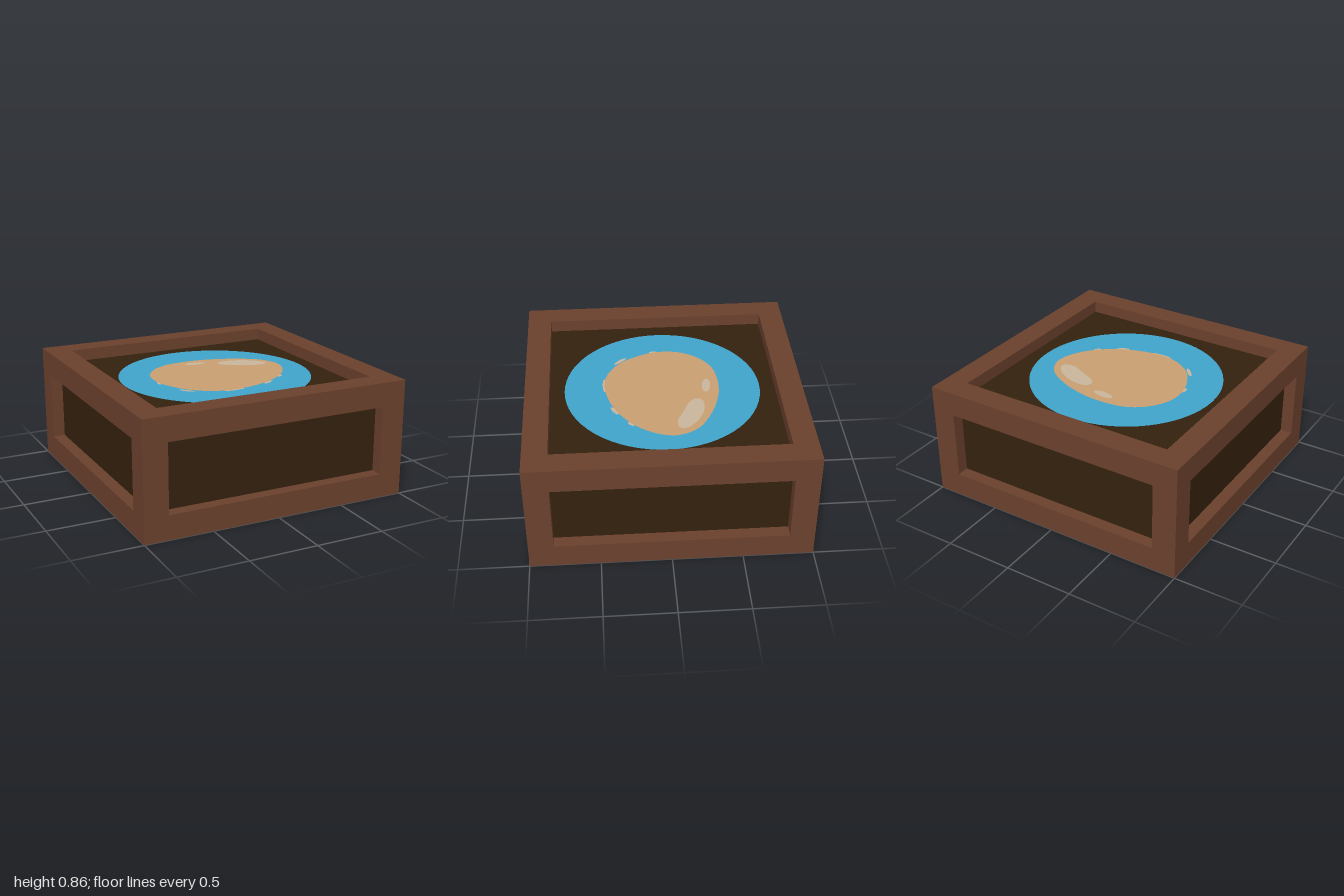
import * as THREE from 'three';

const mat = (name, color) => {
  const m = new THREE.MeshStandardMaterial({ color });
  m.name = name;
  return m;
};

export function createModel() {
  const wood = mat('brown wood', 0x6b412d);
  const dark = mat('dark wood', 0x34210e);
  const blue = mat('blue', 0x41a4cc);
  const tan = mat('tan', 0xc99f72);
  const pale = mat('pale highlight', 0xc9b59d);

  const H = 0.855, BAR = 0.177, INSET = 0.09;
  const model = new THREE.Group();
  model.name = 'framedBox';

  const add = (parent, name, geometry, material, x, y, z) => {
    const mesh = new THREE.Mesh(geometry, material);
    mesh.name = name;
    mesh.position.set(x, y, z);
    parent.add(mesh);
    return mesh;
  };

  // Frame: four corner posts and four rails at the top and the bottom
  const frame = new THREE.Group();
  frame.name = 'frame';
  model.add(frame);
  const off = 1 - BAR / 2, span = 2 - 2 * BAR;
  for (const a of [-1, 1]) {
    for (const b of [-1, 1]) {
      add(frame, 'cornerPost', new THREE.BoxGeometry(BAR, H, BAR), wood, a * off, H / 2, b * off);
    }
    for (const y of [BAR / 2, H - BAR / 2]) {
      add(frame, 'railAlongX', new THREE.BoxGeometry(span, BAR, BAR), wood, 0, y, a * off);
      add(frame, 'railAlongZ', new THREE.BoxGeometry(BAR, BAR, span), wood, a * off, y, 0);
    }
  }

  // Recessed panels on all six sides
  const w = 2 - 2 * INSET, h = H - 2 * INSET;
  add(model, 'recessedPanels', new THREE.BoxGeometry(w, h, w), dark, 0, H / 2, 0);

  // Painted emblem lying on the top panel, drawn as (x, z) outlines
  const emblem = new THREE.Group();
  emblem.name = 'emblem';
  emblem.position.y = H - INSET;
  model.add(emblem);
  const paint = (name, geometry, material, layer, x = 0, z = 0, turn = 0) => {
    const mesh = add(emblem, name, geometry, material, x, layer * 0.002, z);
    mesh.rotation.set(-Math.PI / 2, 0, turn);
    return mesh;
  };
  const blob = (points) => {
    const curve = new THREE.CatmullRomCurve3(
      points.map(([x, z]) => new THREE.Vector3(x, -z, 0)), true);
    return new THREE.ShapeGeometry(new THREE.Shape(
      curve.getPoints(72).slice(0, -1).map((p) => new THREE.Vector2(p.x, p.y))));
  };
  const ellipse = (rx, rz) => new THREE.CircleGeometry(1, 24).scale(rx, rz, 1);

  paint('blueDisc', new THREE.CircleGeometry(0.715, 64), blue, 1, 0.005, 0.003);

  // Pale slivers peeping out from under the egg's rim
  for (const [x, z, length, turn] of [
    [-0.462, 0.04, 0.035, 1.5], [-0.36, 0.3, 0.06, -0.85],
    [-0.05, 0.425, 0.08, 0], [0.26, 0.362, 0.05, 0.5], [0.42, 0.25, 0.03, 0.8],
  ]) paint('rimHighlight', ellipse(length, 0.014), pale, 2, x, z, turn);

  paint('egg', blob([
    [-0.12, -0.408], [0.06, -0.408], [0.21, -0.375], [0.36, -0.315], [0.5, -0.22],
    [0.565, -0.1], [0.565, 0.01], [0.48, 0.18], [0.31, 0.325], [0.09, 0.41],
    [-0.13, 0.418], [-0.32, 0.315], [-0.42, 0.16], [-0.465, 0.01],
    [-0.448, -0.16], [-0.355, -0.305], [-0.235, -0.383],
  ]), tan, 3);
  paint('largeHighlight', blob([
    [0.155, -0.235], [0.18, -0.277], [0.26, -0.284], [0.37, -0.25], [0.46, -0.185],
    [0.5, -0.12], [0.48, -0.083], [0.41, -0.08], [0.3, -0.13], [0.19, -0.185],
  ]), pale, 4);
  paint('smallHighlight', ellipse(0.083, 0.031), pale, 4, -0.003, -0.32, -0.12);

  return model;
}
